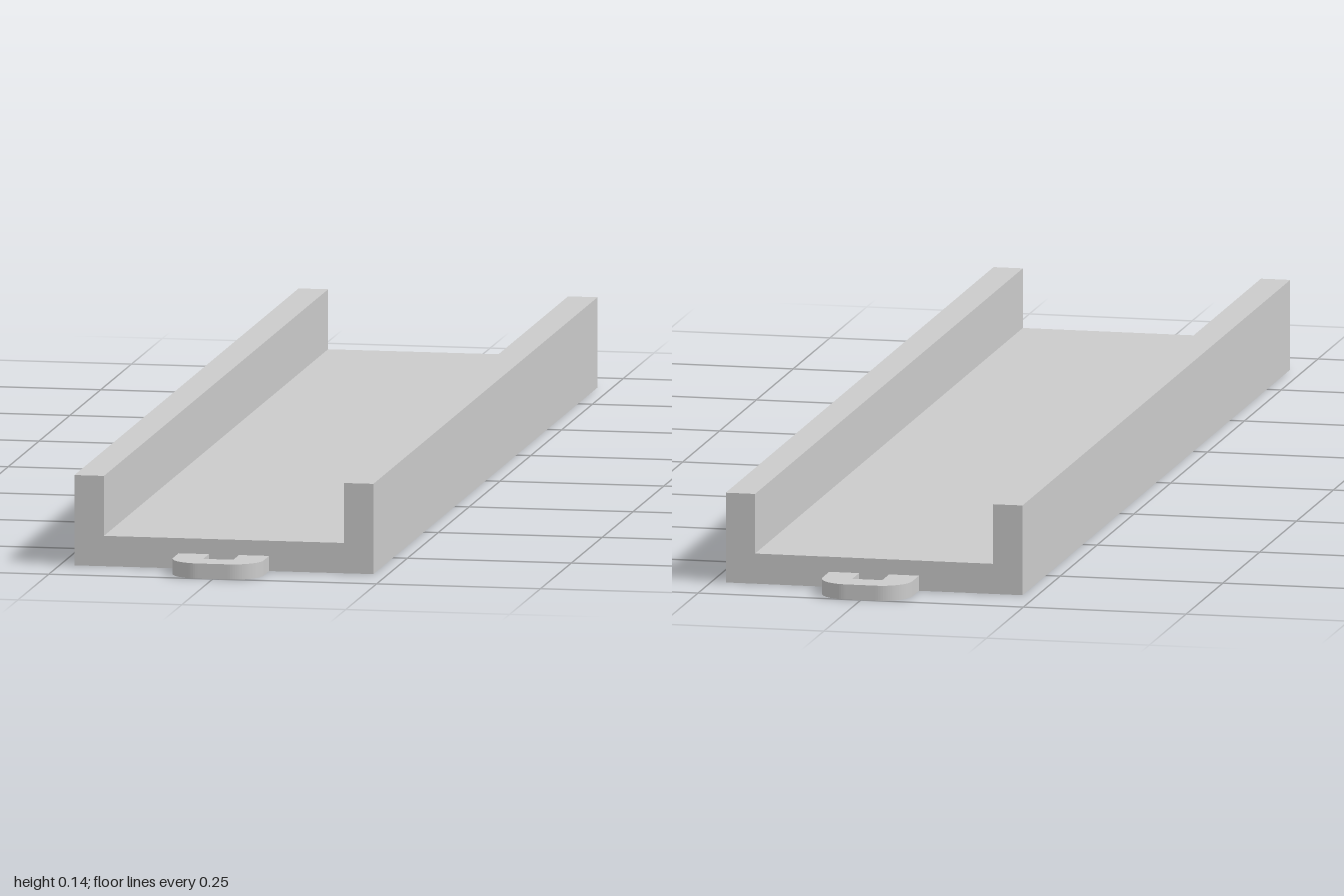
import * as THREE from 'three';

const material = new THREE.MeshStandardMaterial({ color: 0xcccccc });

// U-shaped channel section swept along z
function channel() {
  const w = 0.228, inner = 0.183, floor = 0.046, top = 0.137, half = 0.909;
  const section = new THREE.Shape([
    [-w, 0], [w, 0], [w, top], [inner, top],
    [inner, floor], [-inner, floor], [-inner, top], [-w, top],
  ].map(([x, y]) => new THREE.Vector2(x, y)));
  const geometry = new THREE.ExtrudeGeometry(section, { depth: 2 * half, bevelEnabled: false });
  geometry.translate(0, 0, -half);
  const mesh = new THREE.Mesh(geometry, material);
  mesh.name = 'channel';
  return mesh;
}

// Flat loop with rounded outer corners and a square opening
function mountingLoop(name, turn) {
  const w = 0.069, r = 0.046, start = 0.909, end = 1, hole = 0.023, holeEnd = 0.955;
  const outline = new THREE.Shape();
  outline.moveTo(hole, start);
  outline.lineTo(w, start);
  outline.lineTo(w, end - r);
  outline.absarc(w - r, end - r, r, 0, Math.PI / 2);
  outline.lineTo(r - w, end);
  outline.absarc(r - w, end - r, r, Math.PI / 2, Math.PI);
  outline.lineTo(-w, start);
  outline.lineTo(-hole, start);
  outline.lineTo(-hole, holeEnd);
  outline.lineTo(hole, holeEnd);
  outline.closePath();
  const geometry = new THREE.ExtrudeGeometry(outline, { depth: 0.023, bevelEnabled: false, curveSegments: 10 });
  geometry.rotateX(Math.PI / 2);
  geometry.translate(0, 0.023, 0);
  const mesh = new THREE.Mesh(geometry, material);
  mesh.name = name;
  mesh.rotation.y = turn;
  return mesh;
}

export function createModel() {
  const group = new THREE.Group();
  group.name = 'mountingChannel';
  group.add(channel(), mountingLoop('frontLoop', 0), mountingLoop('backLoop', Math.PI));
  return group;
}
